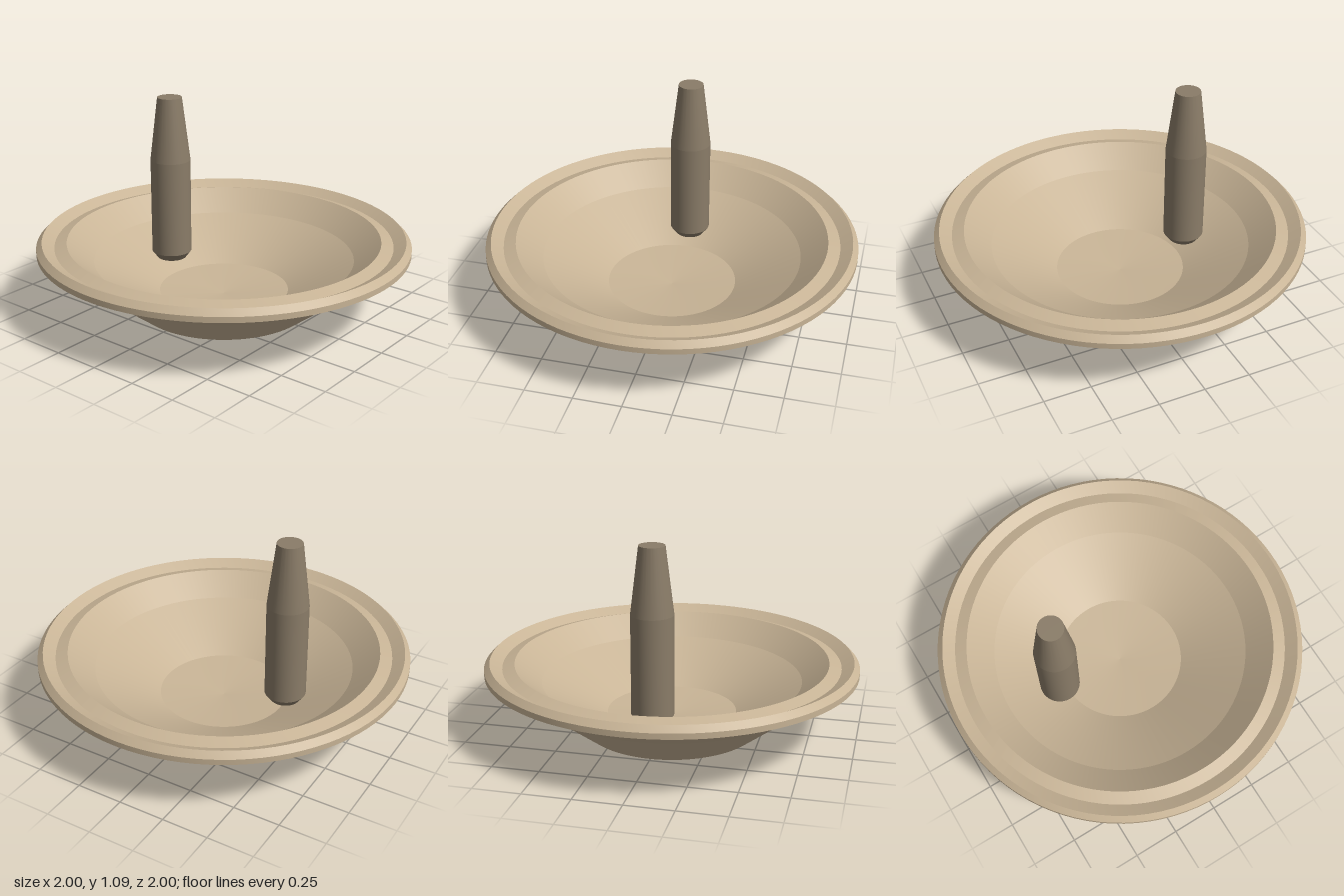
import * as THREE from 'three';
import { toCreasedNormals } from 'three/addons/utils/BufferGeometryUtils.js';

// Revolves a [radius, height] profile, keeping every ring edge crisp
function turned(name, profile, segments, crease, material) {
  const points = profile.map(([r, y]) => new THREE.Vector2(r, y));
  const geometry = toCreasedNormals(new THREE.LatheGeometry(points, segments), crease);
  const mesh = new THREE.Mesh(geometry, material);
  mesh.name = name;
  return mesh;
}

export function createModel() {
  const model = new THREE.Group();
  model.name = 'dishWithPeg';

  const tan = new THREE.MeshStandardMaterial({ color: 0xc8b496 });
  tan.name = 'tan clay';
  const brown = new THREE.MeshStandardMaterial({ color: 0x8a7c68 });
  brown.name = 'brown clay';

  // Dish: underside, bevelled rim with a shallow groove, then the hollow
  const dish = turned('dish', [
    [0, 0], [0.48, 0],
    [0.75, 0.21], [0.92, 0.315], [1, 0.34],
    [1, 0.37], [0.97, 0.4],
    [0.905, 0.365], [0.84, 0.385],
    [0.7, 0.27], [0.35, 0.08], [0, 0.05],
  ], 96, 0.09, tan);

  // Peg: chamfered foot, straight shaft and tapered tip
  const peg = turned('peg', [
    [0, 0.17], [0.08, 0.17], [0.11, 0.21],
    [0.11, 0.74], [0.067, 1.09], [0, 1.09],
  ], 64, 0.11, brown);
  peg.position.set(0.01, 0, -0.385);

  model.add(dish, peg);
  return model;
}
